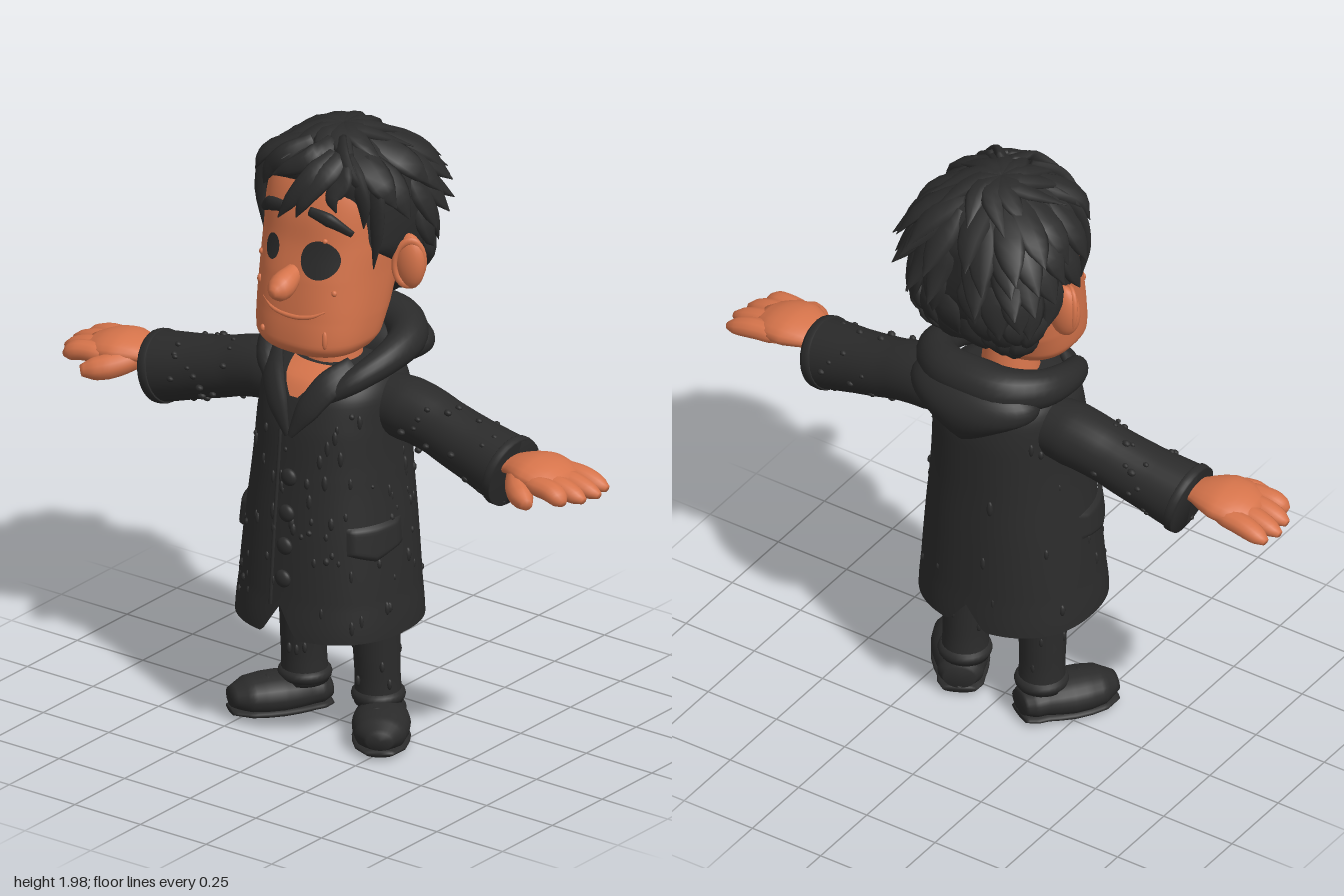
import * as THREE from 'three';
import { mergeVertices, mergeGeometries } from 'three/addons/utils/BufferGeometryUtils.js';
import { ParametricGeometry } from 'three/addons/geometries/ParametricGeometry.js';

const charcoal = new THREE.MeshStandardMaterial({ name: 'charcoal', color: 0x2b2b2b, side: THREE.DoubleSide });
const skin = new THREE.MeshStandardMaterial({ name: 'warm skin', color: 0xd6744b });
const V = (x, y, z) => new THREE.Vector3(x, y, z);
const { lerp, clamp } = THREE.MathUtils;

let seed = 11;
const rnd = () => (seed = (seed * 16807) % 2147483647) / 2147483647;

// Cross-sections: [height, half width, front z, back z], n sets how square they are
const HEAD = { n: 2.5, rows: [[1.285, .02, .12, .08], [1.29, .11, .21, 0], [1.305, .16, .25, -.03], [1.34, .185, .268, -.06],
  [1.42, .195, .262, -.10], [1.55, .2, .245, -.15], [1.65, .205, .222, -.17], [1.75, .205, .208, -.18],
  [1.85, .18, .175, -.16], [1.92, .1, .1, -.1]] };
const HAIR = { n: 3, rows: [[1.4, .06, -.1, -.12], [1.42, .13, -.08, -.14], [1.46, .17, -.05, -.175], [1.55, .212, 0, -.22],
  [1.6, .222, .1, -.235], [1.64, .23, .155, -.245], [1.72, .236, .158, -.25], [1.8, .23, .165, -.25],
  [1.87, .205, .185, -.225], [1.92, .15, .15, -.18], [1.955, .08, .08, -.1], [1.97, .005, .005, -.005]] };
const COAT = { n: 2.3, rows: [[.38, .285, .31, -.215], [.5, .275, .3, -.21], [.7, .257, .285, -.205], [.9, .235, .265, -.2],
  [1.05, .225, .25, -.2], [1.15, .218, .225, -.19], [1.2, .19, .19, -.17], [1.235, .12, .12, -.11], [1.245, .01, .01, -.01]] };

// Smoothly interpolated section at height y
function section({ rows }, y) {
  const last = rows.length - 1;
  let i = 0;
  while (i < last - 1 && y > rows[i + 1][0]) i++;
  const t = clamp((y - rows[i][0]) / (rows[i + 1][0] - rows[i][0]), 0, 1);
  const a = rows[Math.max(i - 1, 0)], b = rows[i], c = rows[i + 1], d = rows[Math.min(i + 2, last)];
  return [1, 2, 3].map(k => {
    const m = (p, q, r) => (q[k] - p[k]) * (r[k] - q[k]) <= 0 ? 0 : (r[k] - p[k]) / 2;
    const t2 = t * t, t3 = t2 * t;
    return b[k] * (2 * t3 - 3 * t2 + 1) + m(a, b, c) * (t3 - 2 * t2 + t) + c[k] * (3 * t2 - 2 * t3) + m(b, c, d) * (t3 - t2);
  });
}

// Point on a body surface by angle (0 = front) and height
function shell(table, a, y, off = 0) {
  const [w, f, b] = section(table, y), p = 2 / table.n;
  const pow = s => Math.sign(s) * Math.abs(s) ** p;
  return V((w + off) * pow(Math.sin(a)), y, (f + b) / 2 + ((f - b) / 2 + off) * pow(Math.cos(a)));
}
// Point on the front of a body surface by x and height
function front(table, x, y, off = 0) {
  const [w, f, b] = section(table, y), r = Math.min(.999, Math.abs(x) / w);
  return V(x, y, (f + b) / 2 + (f - b) / 2 * (1 - r ** table.n) ** (1 / table.n) + off);
}

function surface(fn, nu, nv) {
  const g = new ParametricGeometry((u, v, out) => out.copy(fn(u, v)), nu, nv);
  g.deleteAttribute('uv');
  g.deleteAttribute('normal');
  const m = mergeVertices(g, 1e-5);
  m.computeVertexNormals();
  return m;
}
const loft = (table, y0, y1, nu = 64, nv = 70) =>
  surface((u, v) => shell(table, u * Math.PI * 2, lerp(y0, y1, v)), nu, nv);

// Tapered, optionally flattened tube through a few points
function strand(pts, radii, { up = V(0, 1, 0), flat = 1, sides = 12, n = 14, floor = -9 } = {}) {
  const curve = new THREE.CatmullRomCurve3(pts);
  return surface((u, v) => {
    const i = Math.round(v * (n + 2)), t = clamp((i - 1) / n, 0, 1);
    const k = Math.min(Math.floor(t * (radii.length - 1)), radii.length - 2);
    const r = i === 0 || i === n + 2 ? 0 : lerp(radii[k], radii[k + 1], t * (radii.length - 1) - k);
    const T = curve.getTangent(t), B = T.clone().cross(up).normalize(), N = B.clone().cross(T);
    const W = T.clone().cross(N), a = u * Math.PI * 2;
    const p = curve.getPoint(t).addScaledVector(N, Math.cos(a) * r * flat).addScaledVector(W, Math.sin(a) * r);
    p.y = Math.max(p.y, floor);
    return p;
  }, sides, n + 2);
}
const blob = (p, sx, sy, sz, seg = 20) =>
  new THREE.SphereGeometry(1, seg, Math.ceil(seg * .7)).scale(sx, sy, sz).translate(p.x, p.y, p.z);
// Thin disc hugging the face
const decal = (x, y, rx, ry) => surface((u, v) =>
  front(HEAD, x + rx * v * Math.cos(-u * 2 * Math.PI), y + ry * v * Math.sin(-u * 2 * Math.PI), .006), 28, 5);

export function createModel() {
  const model = new THREE.Group();
  const add = (name, geo, mat) => {
    const mesh = new THREE.Mesh(geo, mat);
    mesh.name = name;
    model.add(mesh);
  };
  const Z = V(0, 0, 1);

  // Head and face
  add('head', loft(HEAD, 1.285, 1.92), skin);
  add('neck', new THREE.CylinderGeometry(.08, .1, .2, 24).translate(0, 1.24, .03), skin);
  add('nose', strand([V(0, 1.565, .215), V(0, 1.548, .26), V(0, 1.532, .3), V(0, 1.528, .34)], [.028, .033, .04, .042, .036, .014], { sides: 18 }), skin);
  add('rightEye', decal(-.085, 1.625, .029, .04), charcoal);
  add('leftEye', decal(.09, 1.62, .06, .06), charcoal);
  const line = (pts, off) => pts.map(([x, y]) => front(HEAD, x, y, off));
  add('rightEyebrow', strand(line([[-.16, 1.715], [-.11, 1.75], [-.045, 1.76]], .008), [.012, .024, .018], { up: Z, flat: .6 }), charcoal);
  add('leftEyebrow', strand(line([[.045, 1.768], [.11, 1.75], [.17, 1.705]], .008), [.016, .024, .012], { up: Z, flat: .6 }), charcoal);
  add('mouth', strand(line([[-.11, 1.46], [-.06, 1.437], [.02, 1.43], [.08, 1.44], [.12, 1.46]], -.002), [.003, .007, .008, .007, .003], { up: Z }), skin);
  const faceDrops = [[.125, 1.37, .03], [-.14, 1.5, .015], [-.1, 1.36, .012], [.14, 1.52, .01], [-.15, 1.58, .01], [.1, 1.68, .008]];
  add('faceDrops', mergeGeometries(faceDrops.map(([x, y, h]) => blob(front(HEAD, x, y), .009, h, .009, 10))), skin);
  for (const s of [1, -1]) {
    add('ear', blob(V(s * .24, 1.57, -.035), .055, .09, .036), skin);
    add('earRim', new THREE.TorusGeometry(.82, .16, 10, 28).scale(.055, .09, .06).rotateY(s * .6).rotateZ(-s * .12).translate(s * .066, .03, 0)
      .translate(s * .0, 1.545, -.022).translate(s * .182, -.005, 0), skin);
  }

  // Hair: base shell, layered locks and fringe
  add('hairBase', loft(HAIR, 1.4, 1.97, 48, 50), charcoal);
  const locks = [];
  const layers = [[1.53, 1.95, 7, .015], [1.62, 1.9, 8, .025], [1.71, 1.75, 9, .045], [1.81, 1.55, 10, .085], [1.89, 1.3, 10, .085], [1.935, 1.0, 9, .07]];
  for (const [y, a0, count, flick] of layers) {
    for (let i = 0; i < count; i++) {
      const a = lerp(a0, Math.PI * 2 - a0, (i + rnd() * .4) / (count - .6));
      const drop = .11 + rnd() * .06, k = .45 + .55 * Math.max(0, -Math.cos(a));
      locks.push(strand([shell(HAIR, a, y + .025, -.012), shell(HAIR, a + .05, y - drop * .45, .012),
        shell(HAIR, a + .1, Math.max(1.41, y - drop), flick * k)],
      [.025, .056, .04, .002], { up: V(Math.sin(a), .3, Math.cos(a)), flat: .38, sides: 8, n: 7 }));
    }
  }
  // Crown swirl
  for (let i = 0; i < 11; i++) {
    const a = i / 11 * Math.PI * 2;
    locks.push(strand([V(0, 1.965, -.02), V(.075 * Math.sin(a), 1.957, -.02 + .085 * Math.cos(a)),
      shell(HAIR, a + .3, 1.9, .022)], [.02, .04, .034, .002], { flat: .4, sides: 8, n: 8 }));
  }
  add('hairLocks', mergeGeometries(locks), charcoal);
  const fringe = [
    [[.08, 1.93, .12], [.05, 1.88, .2], [0, 1.81, .235], [-.05, 1.735, .245]],
    [[.1, 1.93, .12], [.08, 1.88, .19], [.04, 1.81, .23], [.015, 1.75, .24]],
    [[.1, 1.92, .11], [.13, 1.87, .16], [.115, 1.82, .19], [.135, 1.78, .195]],
    [[.1, 1.92, .1], [.16, 1.86, .125], [.19, 1.8, .13], [.19, 1.72, .13]],
    [[.13, 1.91, .06], [.2, 1.83, .09], [.218, 1.72, .1], [.205, 1.58, .1]],
    [[-.02, 1.94, .1], [-.09, 1.895, .16], [-.14, 1.85, .165], [-.165, 1.79, .165]],
    [[-.1, 1.92, .06], [-.19, 1.85, .09], [-.222, 1.75, .1], [-.21, 1.6, .1]],
    [[.04, 1.95, .08], [.02, 1.92, .16], [-.04, 1.885, .195], [-.1, 1.85, .205]],
    [[.05, 1.95, .06], [.1, 1.92, .12], [.15, 1.88, .14], [.19, 1.84, .13]]];
  add('fringe', mergeGeometries(fringe.map(f =>
    strand(f.map(p => V(...p)), [.03, .04, .032, .022, .002], { up: Z, flat: .45 }))), charcoal);

  // Coat body with a notched hem at front and back
  add('coat', surface((u, v) => {
    const a = u * Math.PI * 2, x = shell(COAT, a, .385).x;
    const notch = Math.max(0, 1 - Math.abs(x) / .065) * (Math.cos(a) > 0 ? .1 : .08);
    return shell(COAT, a, lerp(.385 + notch, 1.245, v));
  }, 120, 60), charcoal);
  add('chest', surface((u, v) => front(COAT, (u * 2 - 1) * lerp(.015, .085, v), lerp(1.15, 1.232, v), .007), 10, 8), skin);
  add('frontSeam', strand([1.04, .9, .75, .6, .48].map(y => front(COAT, -.035, y)), [.006, .006], { up: Z }), charcoal);
  for (const y of [.9, .785, .68, .575]) {
    add('button', blob(front(COAT, .012, y, .006), .028, .028, .016), charcoal);
  }
  for (const s of [1, -1]) {
    // Pocket flap
    add('pocketFlap', surface((u, v) => {
      const edge = Math.min(1, Math.min(u, 1 - u, v, 1 - v) * 10);
      const bottom = .67 - .03 * (1 - Math.abs(2 * u - 1));
      return shell(COAT, s * lerp(.8, 1.6, u), lerp(.755, bottom, v), .002 + .012 * edge);
    }, 20, 12), charcoal);
    add('lapel', strand([V(s * .15, 1.245, .12), V(s * .105, 1.2, .195), V(s * .055, 1.12, .238), V(s * .005, 1.03, .258)],
      [.04, .046, .04, .01], { up: Z, flat: .4 }), charcoal);
  }

  // Hood lying on the back
  const rim = [[.08, 1.14, .21], [.16, 1.21, .145], [.205, 1.26, .03], [.19, 1.285, -.09], [.11, 1.295, -.165], [0, 1.3, -.18]];
  const hoodPath = [...rim.map(p => V(...p)), ...rim.slice(0, -1).reverse().map(([x, y, z]) => V(-x, y, z))];
  add('hoodRim', strand(hoodPath, [.015, .038, .048, .06, .07, .072, .07, .06, .048, .038, .015], { n: 48, sides: 18 }), charcoal);
  add('hoodBag', surface((u, v) => {
    const p = V().setFromSphericalCoords(1, Math.PI * (1 - v), u * Math.PI * 2);
    return V(p.x * (.215 + .06 * p.y), 1.22 + p.y * (p.y < 0 ? .07 + .07 * (1 - Math.abs(p.x)) : .11), -.16 + p.z * .13);
  }, 36, 24), charcoal);

  for (const s of [1, -1]) {
    // Sleeve with cuff
    add('sleeve', strand([V(s * .14, 1.1, -.01), V(s * .3, 1.09, -.01), V(s * .48, 1.045, 0), V(s * .675, 1.0, .015)],
      [.09, .1, .094, .1, .112], { sides: 28, n: 24 }), charcoal);
    add('cuff', strand([V(s * .645, 1.007, .014), V(s * .675, 1, .015)], [.113, .116, .113], { sides: 28, n: 6 }), charcoal);

    // Hand
    add('palm', strand([V(s * .64, 1.03, .03), V(s * .72, 1.045, .03), V(s * .8, 1.045, .035), V(s * .9, 1.025, .045)],
      [.05, .058, .085, .105, .102, .07], { flat: .46, sides: 20 }), skin);
    const fingers = [[-.03, -.045, .985], [.02, .012, .998], [.07, .072, .985], [.11, .128, .95]];
    for (const [z0, z1, x] of fingers) {
      add('finger', strand([V(s * .81, 1.035, z0), V(s * .9, 1.03, (z0 + z1) / 2), V(s * x, 1.008, z1)],
        [.03, .037, .037, .037, .035, .03, .013], { flat: .85 }), skin);
    }
    add('thumb', strand([V(s * .73, 1.03, .065), V(s * .785, 1.01, .135), V(s * .85, .995, .18)], [.036, .04, .04, .036, .018]), skin);

    // Leg, trouser cuff and shoe
    add('trouserLeg', strand([V(s * .135, .62, 0), V(s * .137, .4, 0), V(s * .14, .22, -.005), V(s * .14, .1, -.01)],
      [.08, .08, .074, .07, .074], { up: Z, sides: 24 }), charcoal);
    add('trouserCuff', new THREE.TorusGeometry(.062, .022, 12, 28).rotateX(Math.PI / 2).translate(s * .14, .125, -.01), charcoal);
    const foot = y => [V(s * .11, y, -.085), V(s * .15, y, -.015), V(s * .215, y, .075), V(s * .285, y, .175)];
    add('shoe', strand(foot(.062), [.05, .07, .073, .083, .09, .088, .078, .04], { flat: .72, sides: 24, n: 28, floor: .01 }), charcoal);
    add('shoeSole', strand(foot(.02), [.052, .071, .074, .084, .09, .088, .078, .042], { flat: .22, sides: 24, n: 28, floor: 0 }), charcoal);
    for (let i = 0; i < 3; i++) {
      const x = .165 + i * .022, z = .02 + i * .034;
      add('lace', strand([V(s * (x - .03), .103, z + .022), V(s * x, .118, z), V(s * (x + .03), .103, z - .022)], [.006, .009, .006]), charcoal);
    }
  }

  // Drips and drops scattered over the coat, sleeves and legs
  const drops = [];
  for (let i = 0; i < 100; i++) {
    const a = (rnd() + rnd() - 1) * Math.PI, r = .005 + rnd() * .006;
    const p = shell(COAT, a, .43 + rnd() * .7, -.002);
    if (Math.abs(p.x) > .07 || p.y > .52) drops.push(blob(p, r, r * (1 + rnd() * 2.2), r, 8));
  }
  for (let i = 0; i < 60; i++) {
    const s = i % 2 ? 1 : -1, t = rnd(), a = i * 2.4, r = .006 + rnd() * .006, R = lerp(.094, .106, t);
    drops.push(blob(V(s * lerp(.3, .66, t), lerp(1.09, 1.003, t) + Math.sin(a) * R, Math.cos(a) * R + .01 * t), r * 1.3, r, r, 8));
  }
  for (let i = 0; i < 18; i++) {
    const s = i % 2 ? 1 : -1, a = i * 2.4;
    drops.push(blob(V(s * .138 + Math.sin(a) * .072, .17 + rnd() * .2, Math.cos(a) * .072), .008, .018, .008, 8));
  }
  add('coatDrops', mergeGeometries(drops), charcoal);
  return model;
}
